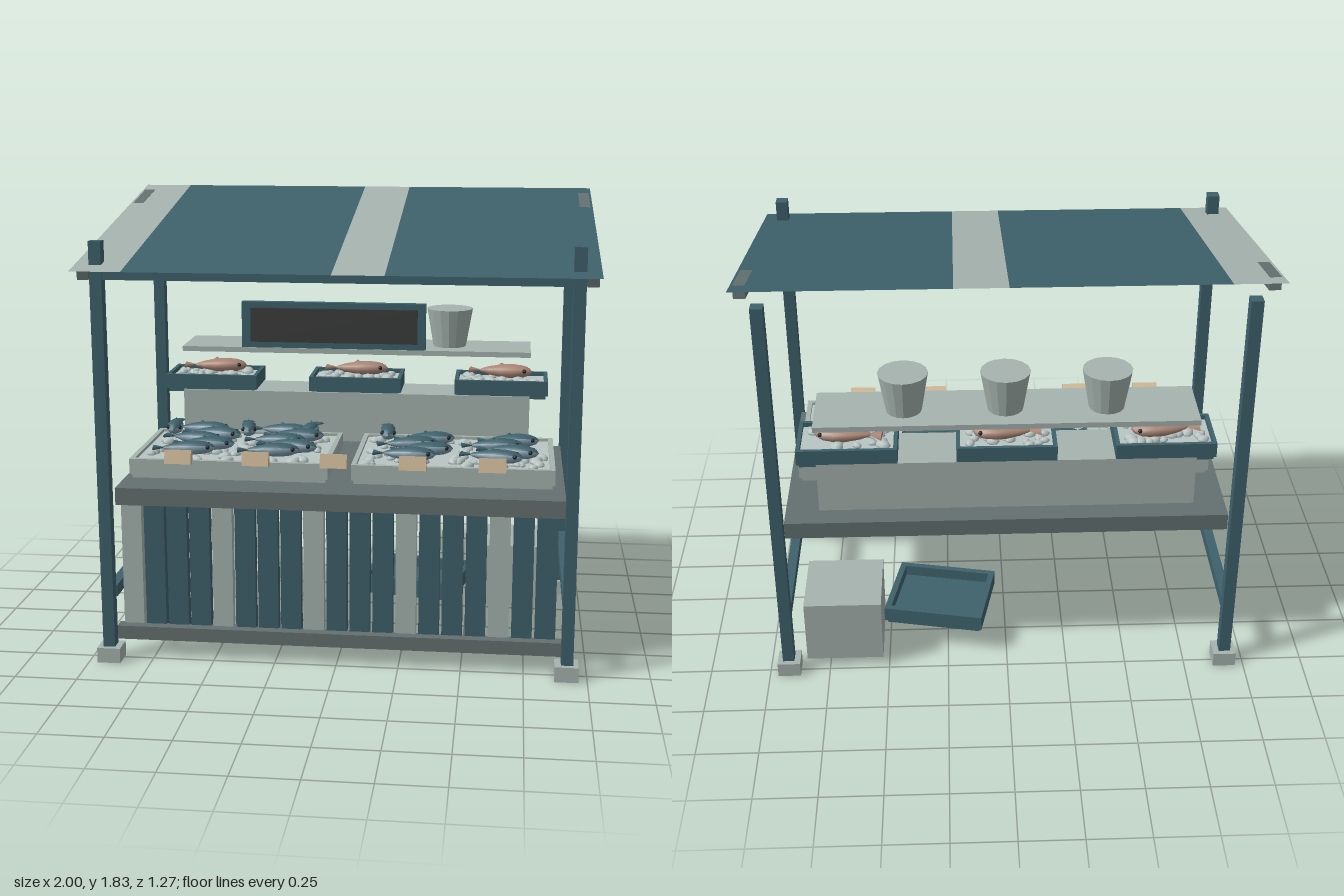
import * as THREE from 'three';

const mat = (name, color, double) => {
  const m = new THREE.MeshStandardMaterial({ color });
  m.name = name;
  if (double) m.side = THREE.DoubleSide;
  return m;
};

export function createModel() {
  const root = new THREE.Group();
  root.name = 'marketStall';
  const teal = mat('teal paint', 0x3e616b, true);
  const pale = mat('pale grey', 0xa5b3ae, true);
  const grey = mat('slate grey', 0x647070);
  const dark = mat('dark board', 0x3a3c3b);
  const tan = mat('tag card', 0xcbb594);
  const ice = mat('ice', 0xb8c5c3);
  const blue = mat('fish blue', 0x7c98a8);
  const salmon = mat('fish pink', 0xaa8676);
  const black = mat('eye black', 0x1c2224);

  let seed = 7;
  const rand = (a, b) => {
    seed = (seed * 16807) % 2147483647;
    return a + (b - a) * (seed / 2147483647);
  };
  const add = (name, geo, material, x, y, z, parent = root) => {
    const m = new THREE.Mesh(geo, material);
    m.name = name;
    m.position.set(x, y, z);
    parent.add(m);
    return m;
  };
  // Box given by its extents on each axis
  const box = (name, material, [x0, x1], [y0, y1], [z0, z1], parent) =>
    add(name, new THREE.BoxGeometry(x1 - x0, y1 - y0, z1 - z0), material,
      (x0 + x1) / 2, (y0 + y1) / 2, (z0 + z1) / 2, parent);
  const group = (name, x = 0, y = 0, z = 0, parent = root) => {
    const g = new THREE.Group();
    g.name = name;
    g.position.set(x, y, z);
    parent.add(g);
    return g;
  };

  // Posts, feet, side rails and sloping roof beams
  for (const s of [-1, 1]) {
    for (const z of [0.525, -0.495]) {
      box('post', teal, [s * 0.92 - 0.024, s * 0.92 + 0.024], [0.06, 1.705], [z - 0.025, z + 0.025]);
      box('foot', pale, [s * 0.918 - 0.047, s * 0.918 + 0.047], [0, 0.062], [z - 0.046, z + 0.046]);
    }
    box('sideRail', teal, [s * 0.92 - 0.02, s * 0.92 + 0.02], [0.25, 0.298], [-0.48, 0.47]);
    add('roofBeam', new THREE.BoxGeometry(0.045, 0.05, 1.137), grey, s * 0.968, 1.688, 0).rotation.x = 0.1885;
  }
  box('frontBeam', teal, [-0.945, 0.945], [1.557, 1.602], [0.503, 0.547]);

  // Striped canopy sheet
  const canopy = group('canopy', 0, 1.7165, -0.005);
  canopy.rotation.x = 0.1823;
  for (const [x0, x1, m] of [[-1, -0.8, pale], [-0.8, 0, teal], [0, 0.2, pale], [0.2, 1, teal]]) {
    add('canopyStripe', new THREE.PlaneGeometry(x1 - x0, 1.296).rotateX(-Math.PI / 2), m, (x0 + x1) / 2, 0, 0, canopy);
  }

  // Hanging sign
  box('signFrame', teal, [-0.35, 0.35], [1.31, 1.485], [0.535, 0.564]);
  box('signBoard', dark, [-0.315, 0.32], [1.333, 1.463], [0.564, 0.573]);

  // Counter with slatted front
  box('counterTop', grey, [-0.9, 0.9], [0.633, 0.704], [-0.44, 0.455]);
  box('kickRail', grey, [-0.9, 0.905], [0.074, 0.13], [0.437, 0.49]);
  for (let i = 0; i < 19; i++) {
    const x = -0.838 + i * 0.0928;
    box('frontSlat', i % 4 ? teal : pale, [x - 0.041, x + 0.041], [0.106, 0.634], [0.404, 0.449]);
  }

  // Open tray: inset base, floor and four walls
  const tray = (name, m, w, d, h, x, y, z, t = 0.02) => {
    const g = group(name, x, y, z);
    const a = w / 2, b = d / 2;
    box('trayBase', m, [-a + 0.01, a - 0.01], [0, h * 0.4], [-b + 0.01, b - 0.01], g);
    for (const s of [-1, 1]) {
      box('trayLongWall', m, [-a, a], [h * 0.2, h], [s * (b - t / 2) - t / 2, s * (b - t / 2) + t / 2], g);
      box('trayEndWall', m, [s * (a - t / 2) - t / 2, s * (a - t / 2) + t / 2], [h * 0.2, h], [-b + t, b - t], g);
    }
    return g;
  };
  const iceBed = (g, w, d, y, n) => {
    box('iceBed', ice, [-w / 2, w / 2], [y - 0.03, y], [-d / 2, d / 2], g);
    for (let i = 0; i < n; i++) {
      const r = rand(0.014, 0.026);
      const lump = add('iceLump', new THREE.SphereGeometry(r, 7, 5), ice,
        rand(-w / 2 + 0.03, w / 2 - 0.03), y + 0.004, rand(-d / 2 + 0.025, d / 2 - 0.025), g);
      lump.scale.set(1.3, 0.75, 1);
      lump.rotation.y = rand(0, 3);
    }
  };

  // Fish: half-lathe back and belly, flat tail, eyes; the head points to +x
  const outline = [[0.002, -0.38], [0.25, -0.33], [0.6, -0.2], [0.92, 0], [1, 0.18], [0.85, 0.34], [0.5, 0.45], [0.001, 0.5]];
  const fish = (backMat, bellyMat, len, ry, rz, x, y, z, yaw) => {
    const g = group('fish', x, y, z);
    g.rotation.y = yaw;
    const pts = outline.map(([r, p]) => new THREE.Vector2(r, p * len));
    const half = (name, m, start, sweep) => {
      const geo = new THREE.LatheGeometry(pts, 6, start, sweep).rotateZ(-Math.PI / 2);
      add(name, geo, m, 0, 0, 0, g).scale.set(1, ry, rz);
    };
    half('fishBelly', bellyMat, -0.55, Math.PI + 1.1);
    half('fishBack', backMat, Math.PI + 0.55, Math.PI - 1.1);
    const tail = add('fishTail', new THREE.ConeGeometry(rz * 0.85, len * 0.22, 6).rotateZ(-Math.PI / 2), backMat, -len * 0.41, 0, 0, g);
    tail.scale.y = 0.25;
    const fin = add('fishFin', new THREE.ConeGeometry(len * 0.09, ry * 0.5, 5), backMat, 0, ry * 0.95, 0, g);
    fin.scale.z = 0.2;
    for (const s of [-1, 1]) {
      add('fishEye', new THREE.SphereGeometry(0.009, 8, 6), black, len * 0.38, ry * 0.25, s * rz * 0.66, g);
    }
  };

  // Two large ice trays with rows of fish
  for (const s of [-1, 1]) {
    const g = tray('displayTray', pale, 0.81, 0.545, 0.08, s * 0.452, 0.727, 0.108);
    iceBed(g, 0.77, 0.505, 0.068, 85);
    [0.285, 0.2, 0.107, 0.02, -0.07].forEach((z, row) => {
      if (s > 0 && row === 4) return;
      for (const c of [-1, 1]) {
        const x = s * 0.452 + c * 0.175 + (row % 2 ? 0.045 : -0.02);
        fish(teal, blue, 0.25, 0.029, 0.04, x, 0.836, z, rand(-0.25, 0.25));
      }
    });
  }
  for (const x of [-0.77, -0.45, -0.175, 0.155]) {
    fish(teal, blue, 0.2, 0.03, 0.036, x, 0.838, -0.1, -Math.PI / 2 + rand(-0.25, 0.25));
  }

  // Price tags leaning on the front edge
  for (let i = 0; i < 5; i++) {
    const tag = add('priceTag', new THREE.BoxGeometry(0.108, 0.058, 0.032), tan, -0.65 + i * 0.315, 0.824, 0.394);
    tag.rotation.x = -0.25;
  }

  // Riser with three small trays, each with a pink fish
  box('riser', pale, [-0.755, 0.755], [0.76, 0.976], [-0.43, -0.2]);
  for (const x of [-0.632, 0, 0.632]) {
    const g = tray('smallTray', teal, 0.4, 0.237, 0.078, x, 0.965, -0.319, 0.016);
    iceBed(g, 0.368, 0.205, 0.06, 26);
    fish(salmon, salmon, 0.27, 0.031, 0.052, x, 1.062, -0.335, rand(-0.12, 0.12));
  }

  // Upper shelf with buckets
  box('shelf', pale, [-0.755, 0.755], [1.148, 1.17], [-0.47, -0.195]);
  for (const x of [-0.397, 0.003, 0.403]) {
    const bucket = pale.userData.flat || (pale.userData.flat = new THREE.CylinderGeometry(0.099, 0.071, 0.165, 16).toNonIndexed());
    bucket.computeVertexNormals();
    add('bucket', bucket, pale, x, 1.2525, -0.339);
  }
  pale.userData = {};

  // Storage under the counter
  box('storageBox', pale, [0.525, 0.845], [0.04, 0.317], [-0.48, -0.16]);
  tray('floorTray', teal, 0.42, 0.34, 0.078, 0.28, 0.107, -0.21, 0.025).rotation.y = -0.2;

  return root;
}
